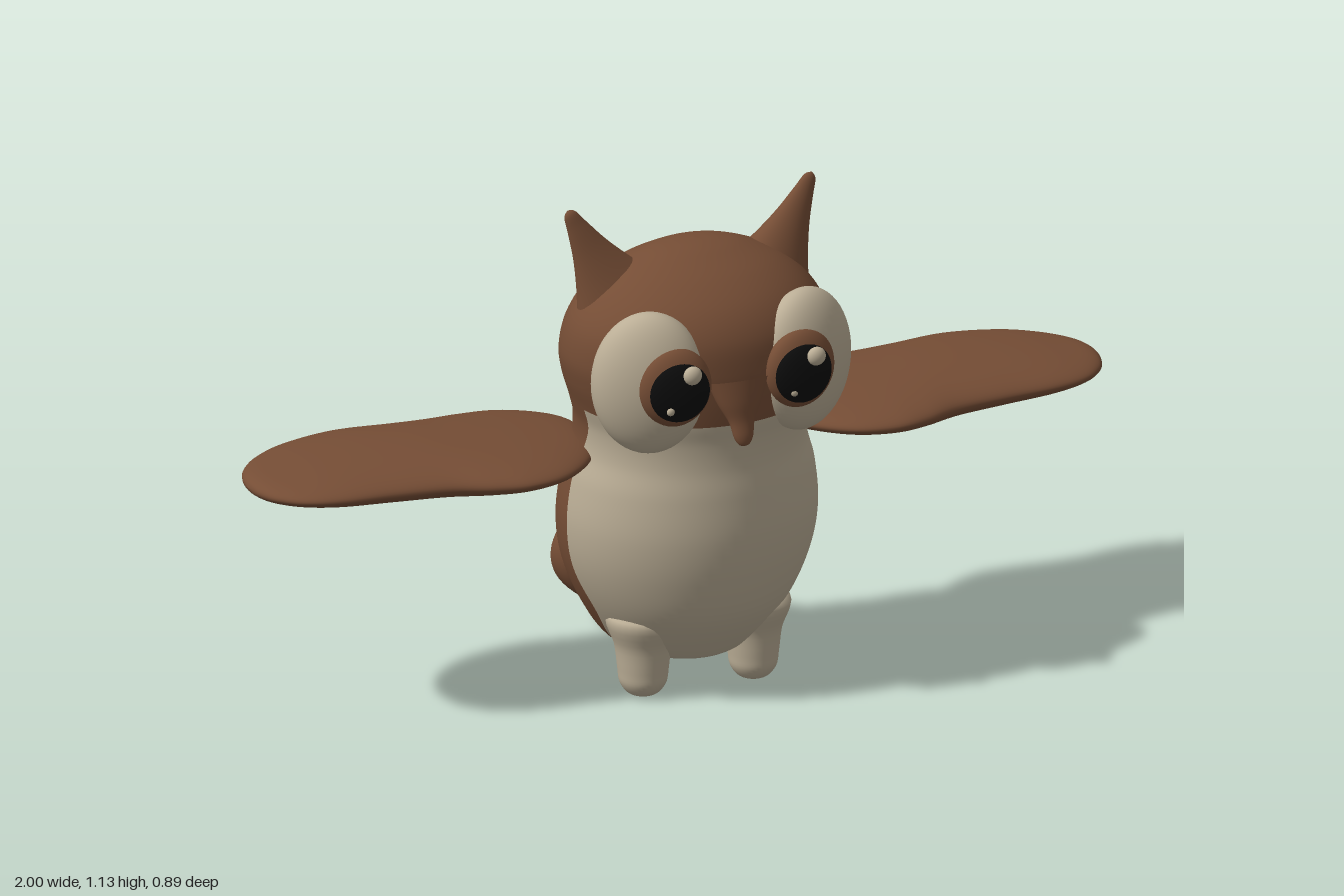
import * as THREE from 'three';

const flat = (name, color) => Object.assign(new THREE.MeshStandardMaterial({ color }), { name });
const brown = flat('brown plumage', 0x754d35);
const cream = flat('cream plumage', 0xbbae96);
const black = flat('pupil black', 0x0b0b0b);

// Smooth loft of elliptical rings. Row: [axis, high z, low z, half width, split z (optional)].
// Faces in front of the split, up to row creamRows, form group 0; all others form group 1.
function loft(rows, creamRows = 0, steps = 7, N = 64) {
  const curves = rows[0].map((_, k) =>
    new THREE.SplineCurve(rows.map((r, i) => new THREE.Vector2(i, r[k]))));
  const count = (rows.length - 1) * steps;
  const pos = [], front = [], rest = [];
  for (let i = 0; i <= count; i++) {
    const [y, hi, lo, w, split] = curves.map(c => c.getPoint(i / count).y);
    const mid = (hi + lo) / 2, depth = Math.max(0, (hi - lo) / 2);
    const A = split === undefined || depth < 1e-4 ? Math.PI / 2
      : Math.acos(THREE.MathUtils.clamp((split - mid) / depth, -0.9, 0.9));
    for (let j = 0; j < N; j++) {
      const u = j / N;
      const phi = u < 0.5 ? -A + 4 * A * u : A + (u - 0.5) * 4 * (Math.PI - A);
      pos.push(Math.max(0, w) * Math.sin(phi), y, mid + depth * Math.cos(phi));
      if (i === count) continue;
      const a = i * N + j, b = i * N + (j + 1) % N;
      (j < N / 2 && i < creamRows * steps ? front : rest).push(a, b, a + N, b, b + N, a + N);
    }
  }
  const g = new THREE.BufferGeometry();
  g.setAttribute('position', new THREE.Float32BufferAttribute(pos, 3));
  g.setIndex([...front, ...rest]);
  g.addGroup(0, front.length, 0);
  g.addGroup(front.length, rest.length, 1);
  g.computeVertexNormals();
  return g;
}

// Lathe from [radius, height] points, smoothed
function turned(points) {
  const curve = new THREE.SplineCurve(points.map(p => new THREE.Vector2(...p)));
  const pts = curve.getPoints(30).map(p => p.set(Math.max(0, p.x), p.y));
  return new THREE.LatheGeometry(pts, 32);
}

export function createModel() {
  const model = new THREE.Group();
  model.name = 'owl';
  const add = (name, geometry, material, position = [0, 0, 0]) => {
    const mesh = new THREE.Mesh(geometry, material);
    mesh.name = name;
    mesh.position.set(...position);
    model.add(mesh);
    return mesh;
  };
  const ball = (name, material, position, radii, yaw = 0) => {
    const mesh = add(name, new THREE.SphereGeometry(1, 40, 28), material, position);
    mesh.scale.set(...radii);
    mesh.rotation.y = yaw;
    return mesh;
  };
  // Turned spike pointing from one place to another
  const spike = (name, points, from, to, depth) => {
    const g = turned(points).scale(1, 1, depth);
    const mesh = add(name, g, brown, from);
    const dir = new THREE.Vector3(...to).sub(mesh.position).normalize();
    mesh.quaternion.setFromUnitVectors(new THREE.Vector3(0, 1, 0), dir);
    return mesh;
  };

  // Body and head, with a cream front up to the chin
  add('bodyAndHead', loft([
    [0.065, 0.09, 0.09, 0, 0.09],
    [0.075, 0.2, -0.02, 0.1, 0.09],
    [0.11, 0.25, -0.09, 0.17, 0.1],
    [0.2, 0.32, -0.13, 0.232, 0.14],
    [0.3, 0.357, -0.148, 0.274, 0.125],
    [0.4, 0.374, -0.145, 0.288, 0.125],
    [0.5, 0.374, -0.13, 0.277, 0.125],
    [0.57, 0.37, -0.117, 0.258, 0.14],
    [0.63, 0.374, -0.107, 0.257, 0.165],
    [0.68, 0.385, -0.104, 0.27, 0.172],
    [0.74, 0.393, -0.103, 0.29, 0.172],
    [0.8, 0.396, -0.094, 0.3, 0.172],
    [0.87, 0.388, -0.07, 0.288, 0.172],
    [0.93, 0.356, -0.036, 0.25, 0.17],
    [0.98, 0.3, 0.02, 0.192, 0.16],
    [1.015, 0.235, 0.08, 0.115, 0.155],
    [1.029, 0.193, 0.118, 0.055, 0.155],
    [1.033, 0.155, 0.155, 0, 0.155],
  ], 9), [cream, brown]);

  // Tail, lofted backwards
  add('tail', loft([
    [0, 0.22, 0.22, 0],
    [0.02, 0.4, 0.1, 0.19],
    [0.1, 0.41, 0.1, 0.186],
    [0.15, 0.372, 0.083, 0.168],
    [0.2, 0.328, 0.052, 0.156],
    [0.26, 0.29, 0.052, 0.156],
    [0.32, 0.262, 0.058, 0.125],
    [0.355, 0.232, 0.063, 0.108],
    [0.385, 0.18, 0.068, 0.098],
    [0.42, 0.155, 0.083, 0.078],
    [0.438, 0.138, 0.105, 0.045],
    [0.444, 0.122, 0.122, 0],
  ]).rotateX(-Math.PI / 2), [cream, brown]);

  // Beak
  spike('beak', [[0.07, 0], [0.05, 0.05], [0.03, 0.09], [0.022, 0.125], [0.012, 0.142], [0, 0.146]],
    [0, 0.785, 0.385], [0, 0.64, 0.426], 0.6);

  for (const s of [1, -1]) {
    const side = s > 0 ? 'left' : 'right';

    // Wing, a flat pillow lofted outwards
    const wing = loft([
      [0.2, 0.03, 0.03, 0],
      [0.215, 0.1, -0.06, 0.016],
      [0.26, 0.185, -0.115, 0.028],
      [0.34, 0.253, -0.158, 0.037],
      [0.43, 0.276, -0.165, 0.043],
      [0.51, 0.26, -0.16, 0.047],
      [0.6, 0.225, -0.162, 0.05],
      [0.72, 0.208, -0.176, 0.048],
      [0.84, 0.197, -0.155, 0.04],
      [0.92, 0.172, -0.113, 0.03],
      [0.97, 0.128, -0.06, 0.022],
      [0.993, 0.08, -0.01, 0.012],
      [1, 0.034, 0.034, 0],
    ]).rotateZ(-s * Math.PI / 2);
    add(side + 'Wing', wing, [cream, brown], [0, 0.565, 0]);

    // Ear tuft
    spike(side + 'Ear',
      [[0.095, 0], [0.066, 0.06], [0.042, 0.12], [0.024, 0.18], [0.014, 0.215], [0, 0.226]],
      [s * 0.185, 0.93, 0.145], [s * 0.288, 1.13, 0.13], 0.62);

    // Foot
    add(side + 'Foot',
      turned([[0, 0], [0.032, 0.008], [0.051, 0.032], [0.056, 0.065], [0.063, 0.12], [0.08, 0.19], [0, 0.22]]),
      cream, [s * 0.13, 0, 0.175]);

    // Face disc and eye
    ball(side + 'FaceDisc', cream, [s * 0.182, 0.785, 0.325], [0.126, 0.162, 0.072], s * 0.35);
    ball(side + 'EyeRing', brown, [s * 0.148, 0.79, 0.385], [0.083, 0.09, 0.04], s * 0.12);
    ball(side + 'Pupil', black, [s * 0.146, 0.786, 0.408], [0.068, 0.068, 0.03], s * 0.1);

    // Glints fall on the same side of both eyes
    ball(side + 'LargeGlint', cream, [s * 0.146 + 0.02, 0.83, 0.433], [0.021, 0.021, 0.015]);
    ball(side + 'SmallGlint', cream, [s * 0.146 - 0.03, 0.752, 0.429], [0.009, 0.009, 0.006]);
  }
  return model;
}
